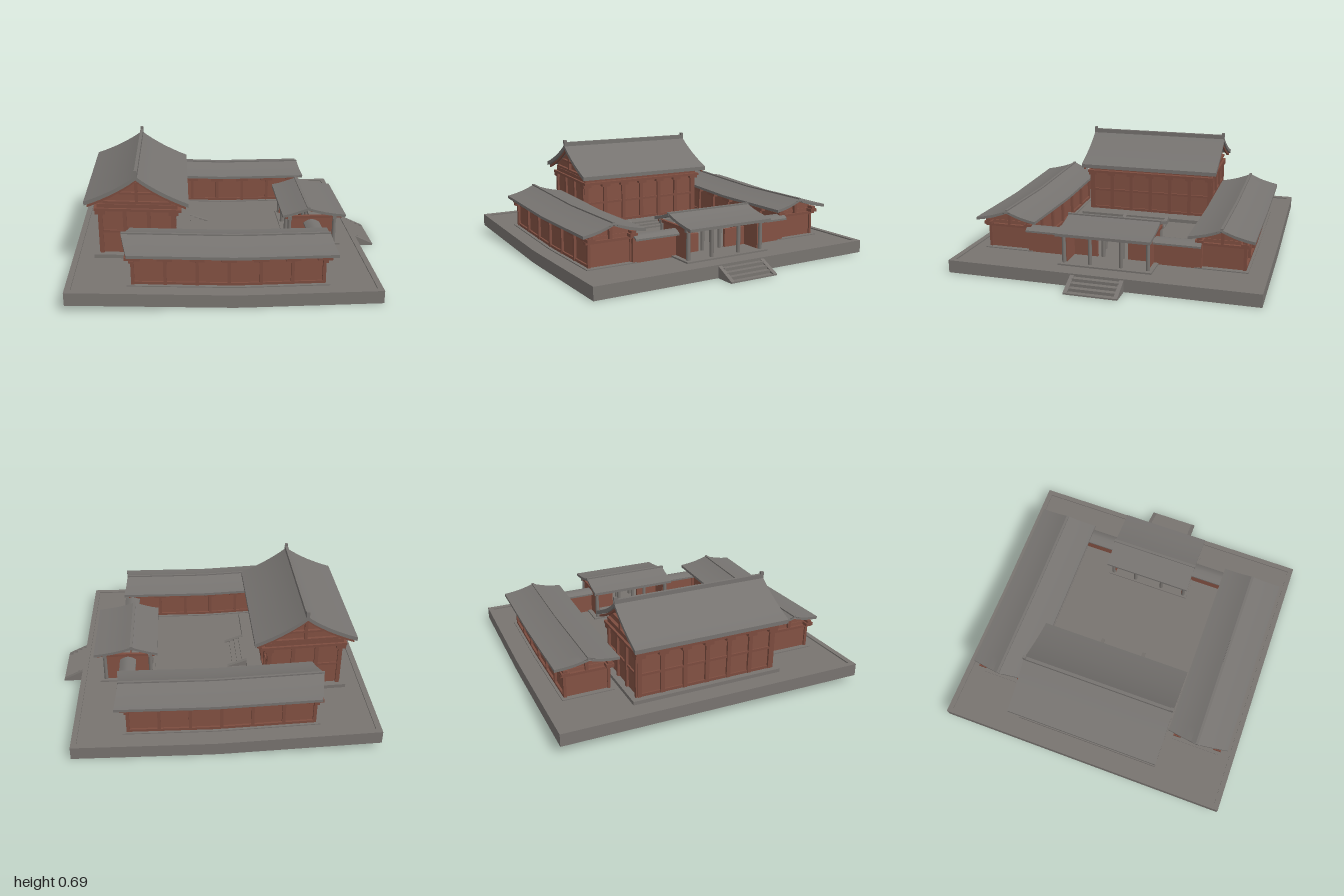
import * as THREE from 'three';
import { toCreasedNormals } from 'three/addons/utils/BufferGeometryUtils.js';

const mat = (name, color) => Object.assign(new THREE.MeshStandardMaterial({ color }), { name });

export function createModel() {
  const root = new THREE.Group();
  root.name = 'courtyardCompound';
  const stone = mat('stone grey', 0x787470);
  const tile = mat('roof grey', 0x767370);
  const red = mat('red wall', 0x835143);
  const timber = mat('red timber', 0x7c4c3f);

  // The whole ground rises gently towards the back of the hall.
  const bend = (geo) => {
    const p = geo.attributes.position;
    for (let i = 0; i < p.count; i++) p.setY(i, p.getY(i) + 0.05 * Math.max(0, -p.getX(i)));
    return geo;
  };
  const group = (name) => {
    const g = new THREE.Group();
    g.name = name;
    root.add(g);
    return g;
  };
  const add = (parent, name, geo, material) => {
    const m = new THREE.Mesh(bend(geo), material);
    m.name = name;
    parent.add(m);
    return m;
  };
  // Box given by its limits on each axis
  const box = (parent, name, material, x0, x1, y0, y1, z0, z1) => {
    const g = new THREE.BoxGeometry(x1 - x0, y1 - y0, z1 - z0, Math.ceil((x1 - x0) / 0.1), 1, 1);
    g.translate((x0 + x1) / 2, (y0 + y1) / 2, (z0 + z1) / 2);
    return add(parent, name, g, material);
  };
  const mirrored = (half) => [...half.slice(1).reverse().map(([x, y]) => [-x, y]), ...half];
  // Sweep an outline along z, or along x when alongX is set
  const sweep = (points, length, alongX) => {
    const shape = new THREE.Shape(points.map(([x, y]) => new THREE.Vector2(x, y)));
    const g = new THREE.ExtrudeGeometry(shape, { depth: length, steps: alongX ? 14 : 4, bevelEnabled: false });
    if (alongX) g.rotateY(Math.PI / 2);
    return g;
  };
  // Closed roof shell from its upper profile
  const roofOutline = (top, t) => [...top, ...top.map(([x, y]) => [x, y - t]).reverse()];

  // Terrace: a paved slab inside a thin skirt, hollow below, with a low kerb
  const terrace = group('terrace');
  box(terrace, 'ground', stone, -0.995, 0.865, 0.063, 0.073, -0.975, 0.975);
  for (const s of [-1, 1]) {
    const z = s * 0.963;
    box(terrace, 'sideKerb', stone, -1, 0.87, 0.07, 0.081, z - 0.017, z + 0.017);
    box(terrace, 'sideSkirt', stone, -1, 0.87, 0, 0.075, s * 0.976 - 0.004, s * 0.976 + 0.004);
  }
  box(terrace, 'backKerb', stone, -1, -0.965, 0.07, 0.081, -0.947, 0.947);
  box(terrace, 'frontKerb', stone, 0.836, 0.87, 0.07, 0.081, -0.947, 0.947);
  box(terrace, 'backSkirt', stone, -1, -0.992, 0, 0.075, -0.972, 0.972);
  box(terrace, 'frontSkirt', stone, 0.862, 0.87, 0, 0.075, -0.972, 0.972);

  // Stairs with sloping side rails, descending towards +x
  const stairs = (name, x0, y0, height) => {
    const g = group(name);
    const run = 0.13, n = 4;
    for (let i = 0; i < n; i++) {
      box(g, 'step', stone, x0 + run * i / n, x0 + run * (i + 1) / n,
        y0, y0 + height * (n - i - 0.5) / n, -0.145, 0.145);
    }
    for (const s of [-1, 1]) {
      const rail = sweep([[0, y0], [run, y0], [run, y0 + 0.01], [0, y0 + height]], 0.025);
      rail.translate(x0, 0, s * 0.155 - 0.0125);
      add(g, 'stairRail', rail, stone);
    }
  };
  stairs('frontStairs', 0.87, 0, 0.073);
  stairs('hallStairs', -0.255, 0.066, 0.05);

  // Main hall
  const hall = group('mainHall');
  const hx = -0.592;
  box(hall, 'plinth', stone, -0.87, -0.255, 0.07, 0.097, -0.495, 0.495);
  box(hall, 'walls', red, -0.822, -0.368, 0.08, 0.4, -0.45, 0.45);
  const gable = sweep(mirrored([[0, 0.6], [0.1, 0.533], [0.18, 0.488], [0.235, 0.462], [0.23, 0.39]]), 0.9);
  gable.translate(hx, 0, -0.45);
  add(hall, 'gableWall', gable, red);
  const hallTop = mirrored([[0, 0.628], [0.04, 0.598], [0.08, 0.572], [0.12, 0.548], [0.16, 0.526], [0.22, 0.497], [0.275, 0.473], [0.323, 0.455]]);
  const hallRoof = sweep(roofOutline(hallTop, 0.026), 1);
  hallRoof.translate(hx, 0, -0.5);
  add(hall, 'roof', toCreasedNormals(hallRoof, 0.5), tile);
  // Barge boards under both roof ends
  for (const z of [-0.488, 0.476]) {
    const barge = sweep(roofOutline(hallTop.map(([x, y]) => [x * 0.95, y - 0.025]), 0.016), 0.012);
    barge.translate(hx, 0, z);
    add(hall, 'bargeBoard', barge, timber);
  }
  box(hall, 'ridge', tile, hx - 0.009, hx + 0.011, 0.605, 0.648, -0.5, 0.5);
  for (const s of [-1, 1]) {
    box(hall, 'ridgeEnd', tile, hx - 0.009, hx + 0.011, 0.64, 0.663, s * 0.492 - 0.01, s * 0.492 + 0.01);
    // Cross beams and king post in the gables
    const beam = (x0, x1, y0, y1) => box(hall, 'gableBeam', timber, x0, x1, y0, y1, s * 0.455 - 0.015, s * 0.455 + 0.015);
    beam(-0.8, -0.38, 0.435, 0.45);
    beam(-0.7, -0.48, 0.497, 0.51);
    beam(-0.602, -0.582, 0.45, 0.575);
    // Posts of the end walls
    for (const x of [-0.82, -0.67, -0.52, -0.37]) {
      box(hall, 'endPost', timber, x - 0.012, x + 0.012, 0.09, 0.4, s * 0.455 - 0.01, s * 0.455 + 0.01);
    }
    box(hall, 'endRail', timber, -0.83, -0.36, 0.235, 0.25, s * 0.453 - 0.007, s * 0.453 + 0.007);
  }
  box(hall, 'bracketBeam', timber, -0.86, -0.315, 0.383, 0.4, -0.47, 0.47);
  box(hall, 'upperBeam', timber, -0.84, -0.34, 0.4, 0.425, -0.455, 0.455);
  for (const x of [-0.825, -0.365]) {
    for (let i = 0; i < 7; i++) {
      const z = -0.44 + i * 0.44 / 3;
      box(hall, 'post', timber, x - 0.012, x + 0.012, 0.09, 0.39, z - 0.013, z + 0.013);
      box(hall, 'bracket', timber, x - 0.03, x + 0.03, 0.36, 0.39, z - 0.03, z + 0.03);
    }
    box(hall, 'rail', timber, x - 0.008, x + 0.008, 0.235, 0.25, -0.45, 0.45);
    box(hall, 'sill', timber, x - 0.008, x + 0.008, 0.09, 0.115, -0.45, 0.45);
  }

  // Two side wings
  const wingHalf = [[0, 0.342], [0.04, 0.327], [0.09, 0.311], [0.15, 0.298], [0.203, 0.29]];
  for (const s of [-1, 1]) {
    const wing = group(s > 0 ? 'frontWing' : 'backWing');
    const zc = s * 0.7 + 0.008;
    box(wing, 'plinth', stone, -0.645, 0.565, 0.07, 0.079, zc - 0.165, zc + 0.165);
    box(wing, 'walls', red, -0.61, 0.53, 0.075, 0.26, zc - 0.132, zc + 0.132);
    const attic = sweep(mirrored([[0, 0.325], [0.08, 0.297], [0.14, 0.282], [0.14, 0.255]]), 1.13, true);
    attic.translate(-0.605, 0, zc);
    add(wing, 'gableWall', attic, red);
    const roof = sweep(roofOutline(mirrored(wingHalf), 0.018), 1.245, true);
    roof.translate(-0.64, 0, zc);
    // Ends lean back towards the ridge
    const p = roof.attributes.position;
    for (let i = 0; i < p.count; i++) {
      const near = 1 - Math.abs(p.getZ(i) - zc) / 0.203;
      p.setX(i, p.getX(i) - near * (p.getX(i) < 0 ? 0.04 : 0.018));
    }
    add(wing, 'roof', toCreasedNormals(roof, 0.5), tile);
    box(wing, 'ridge', tile, -0.68, 0.587, 0.33, 0.348, zc - 0.008, zc + 0.008);
    for (const side of [-1, 1]) {
      const z = zc + side * 0.139;
      for (let i = 0; i < 7; i++) {
        const x = -0.61 + i * 1.14 / 6;
        box(wing, 'post', timber, x - 0.01, x + 0.01, 0.075, 0.255, z - 0.009, z + 0.009);
        box(wing, 'bracket', timber, x - 0.045, x + 0.045, 0.238, 0.258, z - 0.025, z + 0.025);
      }
      box(wing, 'wallPlate', timber, -0.65, 0.57, 0.256, 0.274, z - 0.014, z + 0.014);
      box(wing, 'sill', timber, -0.615, 0.535, 0.075, 0.095, z - 0.009, z + 0.005);
    }
    for (const x of [-0.615, 0.535]) {
      box(wing, 'endBeam', timber, x - 0.015, x + 0.015, 0.222, 0.238, zc - 0.165, zc + 0.165);
      box(wing, 'kingPost', timber, x - 0.012, x + 0.012, 0.238, 0.315, zc - 0.01, zc + 0.01);
    }

    // Covered wall joining wing and gate
    const link = group(s > 0 ? 'frontLinkWall' : 'backLinkWall');
    const z0 = s > 0 ? 0.27 : -0.57;
    box(link, 'wall', red, 0.53, 0.56, 0.07, 0.23, z0, z0 + 0.3);
    const cap = sweep(roofOutline(mirrored([[0, 0.252], [0.03, 0.243], [0.053, 0.228]]), 0.012), 0.3);
    cap.translate(0.548, 0, z0);
    add(link, 'roof', toCreasedNormals(cap, 0.6), tile);
  }

  // Gatehouse with a deeper roof to the front
  const gate = group('gatehouse');
  box(gate, 'plinth', stone, 0.375, 0.74, 0.07, 0.083, -0.3, 0.3);
  const gateTop = [[-0.17, 0.292], [-0.12, 0.302], [-0.06, 0.32], [0, 0.341], [0.06, 0.322], [0.12, 0.307], [0.19, 0.295], [0.25, 0.288]];
  const gateRoof = sweep(roofOutline(gateTop, 0.018), 0.6);
  gateRoof.translate(0.52, 0, -0.3);
  add(gate, 'roof', toCreasedNormals(gateRoof, 0.5), tile);
  box(gate, 'ridge', tile, 0.512, 0.53, 0.328, 0.347, -0.305, 0.305);
  for (const x of [0.4, 0.7]) {
    box(gate, 'lintel', stone, x - 0.012, x + 0.012, 0.255, 0.278, -0.29, 0.29);
    for (const z of [-0.27, -0.1, 0.1, 0.27]) {
      const column = new THREE.CylinderGeometry(0.012, 0.013, 0.18, 12).translate(x, 0.17, z);
      add(gate, 'column', column, stone);
    }
  }
  for (const s of [-1, 1]) {
    box(gate, 'sideWall', red, 0.4, 0.69, 0.08, 0.27, s * 0.262 - 0.008, s * 0.262 + 0.008);
    const z = s * 0.18;
    box(gate, 'screenWall', red, 0.535, 0.555, 0.08, 0.2, z - 0.08, z + 0.08);
    add(gate, 'doorColumn', new THREE.CylinderGeometry(0.012, 0.012, 0.2, 12).translate(0.545, 0.18, s * 0.065), stone);
    box(gate, 'tieBeam', stone, 0.37, 0.73, 0.262, 0.278, s * 0.1 - 0.01, s * 0.1 + 0.01);
    box(gate, 'gableBeam', timber, 0.37, 0.75, 0.262, 0.28, s * 0.275 - 0.01, s * 0.275 + 0.01);
  }
  box(gate, 'doorLintel', stone, 0.535, 0.555, 0.25, 0.27, -0.26, 0.26);
  return root;
}
